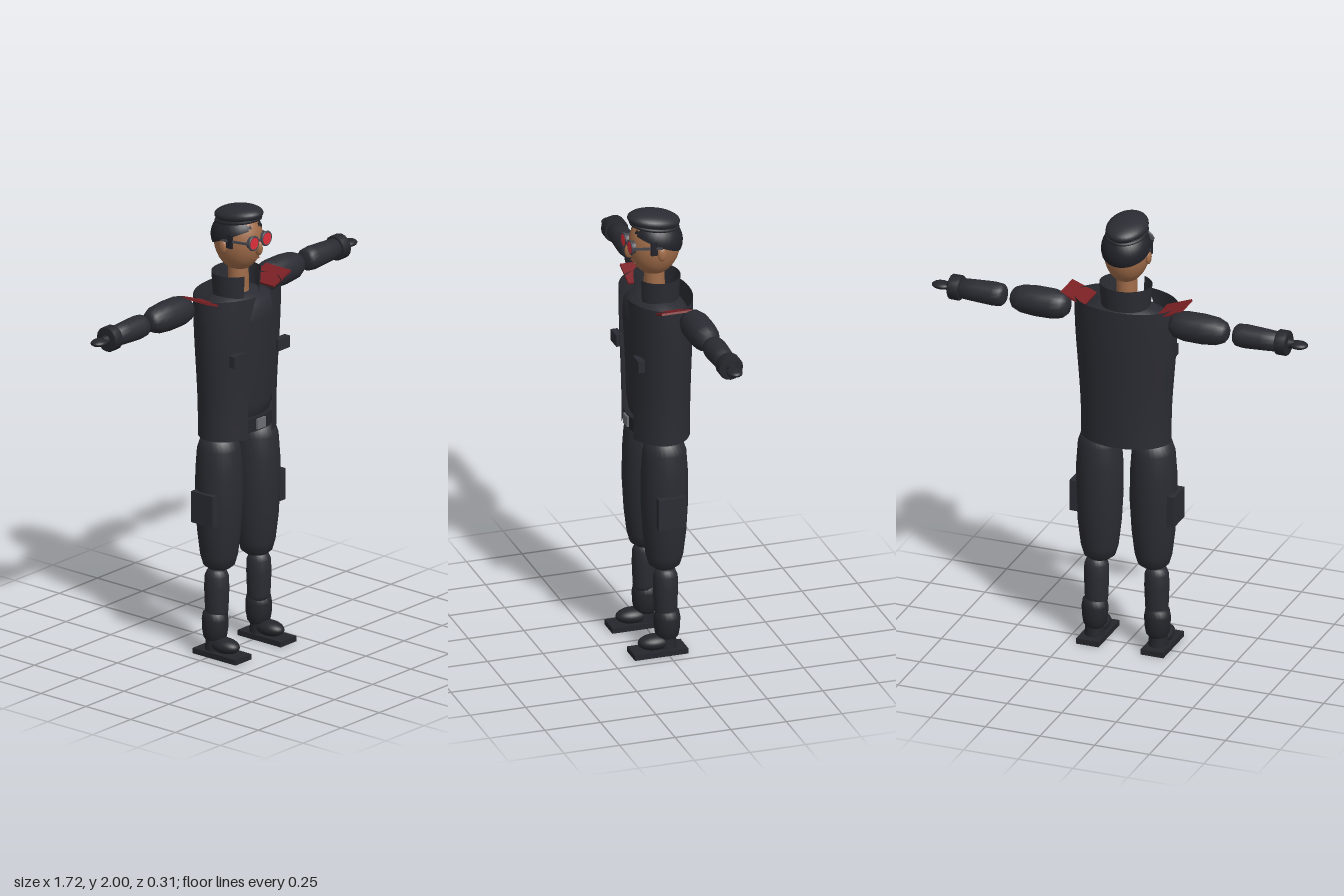
import * as THREE from 'three';
import { ParametricGeometry } from 'three/addons/geometries/ParametricGeometry.js';

const mat = (name, color, side = THREE.FrontSide) => {
  const m = new THREE.MeshStandardMaterial({ color, side });
  m.name = name;
  return m;
};

export function createModel() {
  const cloth = mat('charcoal cloth', 0x2b2c33, THREE.DoubleSide);
  const leather = mat('black leather', 0x25262c);
  const hairMat = mat('dark hair', 0x22232a, THREE.DoubleSide);
  const skin = mat('skin', 0xa06c49);
  const lip = mat('lip', 0x85523a);
  const red = mat('dark red', 0x7a2024);
  const lensMat = mat('red lens', 0xe0303a);
  const steel = mat('grey metal', 0x6c6e74);
  const frame = mat('spectacle frame', 0x45474f);

  const model = new THREE.Group();
  model.name = 'officer';

  const add = (name, geo, material, pos = [0, 0, 0], scale = [1, 1, 1], rot = [0, 0, 0]) => {
    const m = new THREE.Mesh(geo, material);
    m.name = name;
    m.position.set(...pos);
    m.scale.set(...scale);
    m.rotation.set(...rot);
    model.add(m);
    return m;
  };
  const box = (x, y, z) => new THREE.BoxGeometry(x, y, z);
  const ball = new THREE.SphereGeometry(1, 28, 20);
  // Turned solid from [radius, height] pairs listed bottom to top
  const turned = (pts, sides = 20) =>
    new THREE.LatheGeometry(pts.map(([r, y]) => new THREE.Vector2(r, y)), sides);

  // Open jacket: elliptical shell whose front edges follow a curved opening
  const opening = new THREE.SplineCurve([[0.078, 0], [0.078, 0.25], [0.066, 0.6], [0.082, 0.8], [0.06, 0.93], [0.045, 1]]
    .map(([x, y]) => new THREE.Vector2(x, y)));
  const jacketGeo = new ParametricGeometry((u, v, out) => {
    const edge = opening.getPoint(v);
    const t = edge.y;
    const w = THREE.MathUtils.smoothstep(t, 0.1, 0.95);
    const rx = 0.2 + 0.03 * w;
    const rz = 0.138 + 0.01 * w;
    const gap = Math.asin(edge.x / rx);
    const a = gap + u * (Math.PI * 2 - gap * 2);
    out.set(rx * Math.sin(a), 0.98 + 0.64 * t, rz * Math.cos(a) - 0.007);
  }, 56, 24);
  add('jacket', jacketGeo, cloth);

  // Shirt body inside the jacket
  add('shirt', turned([[0, 1.03], [0.13, 1.035], [0.17, 1.06], [0.186, 1.12], [0.195, 1.3], [0.21, 1.5],
    [0.205, 1.55], [0.17, 1.58], [0.1, 1.61], [0, 1.62]], 36), cloth, [0, 0, -0.007], [1, 1, 0.63]);

  // Belt and buckle
  add('belt', new THREE.CylinderGeometry(0.192, 0.192, 0.06, 36), leather, [0, 1.035, -0.007], [1, 1, 0.68]);
  add('buckle', box(0.052, 0.046, 0.012), steel, [0, 1.037, 0.126]);

  // Standing collar, open at the front
  add('collar', new THREE.CylinderGeometry(0.115, 0.108, 0.1, 32, 1, true, 0.45, Math.PI * 2 - 0.9),
    cloth, [0, 1.65, -0.012], [1, 1, 0.86]);

  // Neck and head
  add('neck', new THREE.CylinderGeometry(0.043, 0.047, 0.17, 20), skin, [0, 1.665, 0]);
  add('head', ball, skin, [0, 1.845, 0], [0.097, 0.14, 0.112]);
  add('nose', ball, skin, [0, 1.825, 0.112], [0.014, 0.034, 0.022]);
  add('mouth', box(0.045, 0.006, 0.008), lip, [0, 1.772, 0.094]);

  // Hair cap, tilted back, and beret
  add('hair', new THREE.SphereGeometry(1, 28, 14, 0, Math.PI * 2, 0, Math.PI * 0.53), hairMat,
    [0, 1.868, -0.01], [0.106, 0.1, 0.116], [-0.42, 0, 0]);
  add('beret', ball, cloth, [0, 1.956, 0.003], [0.088, 0.04, 0.117], [-0.15, 0, 0]);
  add('beretBand', new THREE.TorusGeometry(0.083, 0.008, 8, 32), leather,
    [0, 1.932, 0], [1, 1.22, 1], [Math.PI / 2 - 0.15, 0, 0]);

  // Spectacle bridge
  add('bridge', box(0.03, 0.008, 0.008), frame, [0, 1.862, 0.122]);

  for (const s of [-1, 1]) {
    const side = s > 0 ? 'left' : 'right';

    // Ears, sideburns and spectacles
    add(side + 'Ear', ball, skin, [s * 0.1, 1.83, -0.002], [0.012, 0.03, 0.02]);
    add(side + 'Sideburn', box(0.012, 0.06, 0.03), hairMat, [s * 0.095, 1.86, 0.032]);
    add(side + 'Rim', new THREE.TorusGeometry(0.029, 0.005, 8, 24), frame, [s * 0.042, 1.858, 0.121]);
    add(side + 'Lens', new THREE.CylinderGeometry(0.026, 0.026, 0.009, 24), lensMat,
      [s * 0.042, 1.858, 0.121], [1, 1, 1], [Math.PI / 2, 0, 0]);
    add(side + 'LensBacking', new THREE.CylinderGeometry(0.027, 0.027, 0.012, 24), frame,
      [s * 0.042, 1.858, 0.11], [1, 1, 1], [Math.PI / 2, 0, 0]);
    add(side + 'Temple', box(0.006, 0.01, 0.13), frame, [s * 0.089, 1.862, 0.06], [1, 1, 1], [0, s * -0.25, 0]);

    // Jacket pocket and shoulder board
    add(side + 'ChestPocket', box(0.074, 0.052, 0.03), cloth, [s * 0.145, 1.357, 0.118]);
    add(side + 'ShoulderBoard', box(0.12, 0.009, 0.14), red, [s * 0.219, 1.612, -0.01], [1, 1, 1], [0, 0, s * 0.36]);

    // Arm pieces, turned along x
    const along = [0, 0, -s * Math.PI / 2];
    const arm = (name, geo, material, x, flat = [1, 1, 1]) =>
      add(side + name, geo, material, [s * x, 1.577, -0.08], flat, along);
    arm('UpperArm', turned([[0, 0], [0.035, 0.003], [0.055, 0.025], [0.065, 0.07], [0.066, 0.15],
      [0.06, 0.215], [0.045, 0.25], [0.028, 0.262], [0, 0.264]], 16), cloth, 0.232);
    arm('Forearm', turned([[0, 0], [0.036, 0.002], [0.048, 0.014], [0.052, 0.05], [0.048, 0.13],
      [0.043, 0.21], [0, 0.212]], 16), cloth, 0.524);
    arm('Cuff', turned([[0, 0], [0.05, 0], [0.055, 0.005], [0.055, 0.047], [0.05, 0.052], [0, 0.052]], 16),
      leather, 0.722);
    arm('Wrist', new THREE.CylinderGeometry(0.018, 0.022, 0.03, 14), leather, 0.785);
    arm('Hand', ball, leather, 0.817, [0.016, 0.042, 0.034]);

    // Trouser leg with cargo pocket
    add(side + 'Thigh', turned([[0, 0.385], [0.045, 0.387], [0.068, 0.405], [0.081, 0.45], [0.094, 0.56],
      [0.102, 0.7], [0.101, 0.83], [0.094, 0.93], [0.08, 0.975], [0.05, 0.995], [0, 1]], 28), cloth, [s * 0.123, 0, -0.003]);
    add(side + 'CargoPocket', box(0.035, 0.14, 0.12), cloth, [s * 0.222, 0.68, 0]);

    // Shin and boot
    add(side + 'Shin', turned([[0, 0.16], [0.045, 0.165], [0.05, 0.2], [0.054, 0.3], [0.052, 0.355],
      [0.042, 0.38], [0.025, 0.387], [0, 0.388]]), cloth, [s * 0.138, 0, -0.003]);
    add(side + 'BootShaft', turned([[0, 0.055], [0.035, 0.06], [0.05, 0.08], [0.056, 0.115], [0.057, 0.16],
      [0.052, 0.19], [0.035, 0.2], [0, 0.202]]), leather, [s * 0.143, 0, -0.008]);
    add(side + 'BootHeel', new THREE.CylinderGeometry(0.04, 0.044, 0.06, 18), leather, [s * 0.146, 0.05, -0.005]);
    add(side + 'BootToe', ball, leather, [s * 0.146, 0.052, 0.05], [0.047, 0.034, 0.073]);
    add(side + 'Sole', box(0.104, 0.024, 0.24), leather, [s * 0.148, 0.012, 0.035]);
  }

  return model;
}
